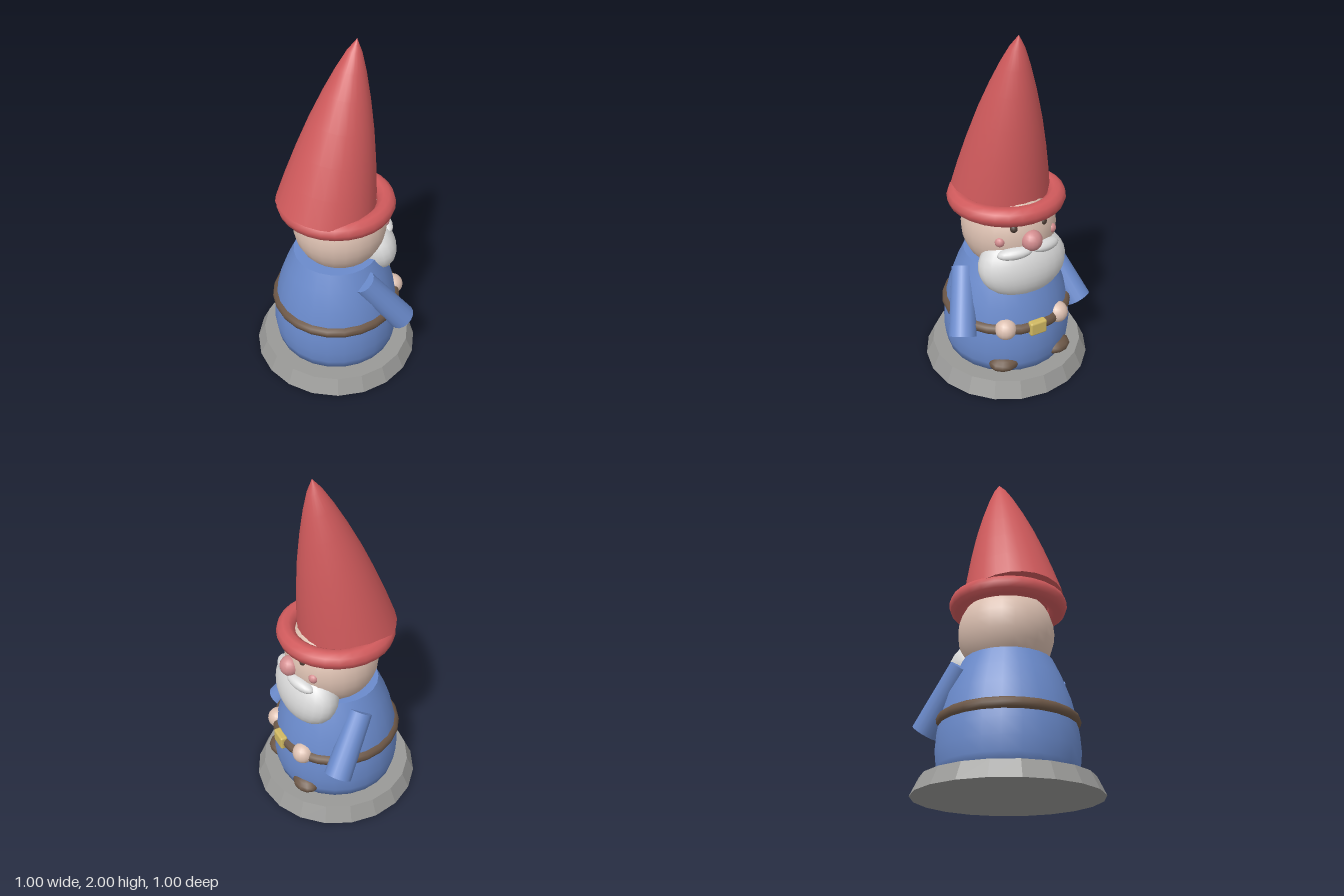
import * as THREE from 'three';
import { RoundedBoxGeometry } from 'three/addons/geometries/RoundedBoxGeometry.js';

const paint = (name, color) => {
  const m = new THREE.MeshStandardMaterial({ color });
  m.name = name;
  return m;
};

export function createModel() {
  const group = new THREE.Group();
  const red = paint('hat red', 0xd05a5c);
  const blue = paint('coat blue', 0x6a8acb);
  const skin = paint('skin', 0xdcc0b1);
  const white = paint('beard white', 0xd9d9d9);
  const brown = paint('leather brown', 0x6b5646);
  const gray = paint('stone gray', 0x999997);
  const gold = paint('buckle gold', 0xd0b862);
  const pink = paint('nose pink', 0xd28c8e);
  const dark = paint('eye dark', 0x4a3a32);
  gray.flatShading = true;

  const add = (name, geometry, material, x, y, z) => {
    const mesh = new THREE.Mesh(geometry, material);
    mesh.name = name;
    mesh.position.set(x, y, z);
    group.add(mesh);
    return mesh;
  };
  const ellipsoid = (rx, ry, rz, w = 24, h = 16) =>
    new THREE.SphereGeometry(1, w, h).scale(rx, ry, rz);
  const lathe = (points, sides) =>
    new THREE.LatheGeometry(points.map(([r, y]) => new THREE.Vector2(r, y)), sides);
  const ring = (radius, tube, sides) =>
    new THREE.TorusGeometry(radius, tube, 10, sides).rotateX(Math.PI / 2);

  // Stone plinth
  add('base', new THREE.CylinderGeometry(0.455, 0.5, 0.095, 20), gray, 0, 0.0475, 0);

  // Coat, closed at the neck
  add('body', lathe([
    [0, 0.09], [0.36, 0.09], [0.374, 0.15], [0.383, 0.23], [0.377, 0.32],
    [0.364, 0.41], [0.338, 0.52], [0.298, 0.63], [0.25, 0.733],
  ], 24), blue, 0, 0, 0);
  add('collarTop', new THREE.CircleGeometry(0.25, 24).rotateX(-Math.PI / 2), blue, 0, 0.733, 0);

  // Belt and buckle
  add('belt', ring(0.353, 0.035, 24), brown, 0, 0.39, 0);
  add('buckle', new RoundedBoxGeometry(0.105, 0.085, 0.045, 2, 0.012), gold, 0, 0.392, -0.373);

  // Head, beard and nose
  add('head', ellipsoid(0.271, 0.271, 0.271), skin, 0, 0.91, -0.025);
  add('beard', ellipsoid(0.268, 0.2, 0.155), white, 0, 0.735, -0.19).rotation.x = 0.2;
  add('nose', ellipsoid(0.06, 0.06, 0.06, 16, 12), pink, 0, 0.92, -0.29);

  // Hat: rolled brim and a tall cone leaning towards the face
  add('hatBrim', ring(0.28, 0.055, 28), red, 0, 1.075, 0);
  const hat = new THREE.Group();
  hat.name = 'hat';
  hat.position.set(0, 1.07, 0.07);
  hat.rotation.x = -0.212;
  const cone = new THREE.Mesh(lathe([
    [0.285, 0], [0.255, 0.16], [0.218, 0.33], [0.175, 0.5],
    [0.126, 0.66], [0.08, 0.79], [0.04, 0.885], [0, 0.951],
  ], 24), red);
  cone.name = 'hatCone';
  const coneBase = new THREE.Mesh(new THREE.CircleGeometry(0.285, 24).rotateX(Math.PI / 2), red);
  coneBase.name = 'hatConeBase';
  hat.add(cone, coneBase);
  group.add(hat);

  // Mirrored parts
  for (const [side, s] of [['left', 1], ['right', -1]]) {
    // Sleeve from shoulder to cuff
    const shoulder = new THREE.Vector3(s * 0.272, 0.66, 0.01);
    const cuff = new THREE.Vector3(s * 0.387, 0.345, -0.2);
    const along = cuff.clone().sub(shoulder);
    const mid = shoulder.clone().lerp(cuff, 0.5);
    add(side + 'Arm', new THREE.CylinderGeometry(0.08, 0.07, along.length(), 16), blue, mid.x, mid.y, mid.z)
      .quaternion.setFromUnitVectors(new THREE.Vector3(0, 1, 0), along.normalize());

    add(side + 'Hand', ellipsoid(0.063, 0.063, 0.063, 16, 12), skin, s * 0.17, 0.395, -0.31);
    add(side + 'Shoe', ellipsoid(0.095, 0.048, 0.08, 12, 8), brown, s * 0.17, 0.15, -0.293);

    const whisker = add(side + 'Moustache', ellipsoid(0.1, 0.035, 0.045, 16, 12), white, s * 0.095, 0.858, -0.276);
    whisker.rotation.set(0, -s * 0.3, -s * 0.12);

    add(side + 'Cheek', ellipsoid(0.03, 0.03, 0.03, 12, 8), pink, s * 0.16, 0.92, -0.225);
    add(side + 'Eye', ellipsoid(0.024, 0.024, 0.024, 12, 8), dark, s * 0.09, 0.995, -0.25);
  }
  return group;
}
